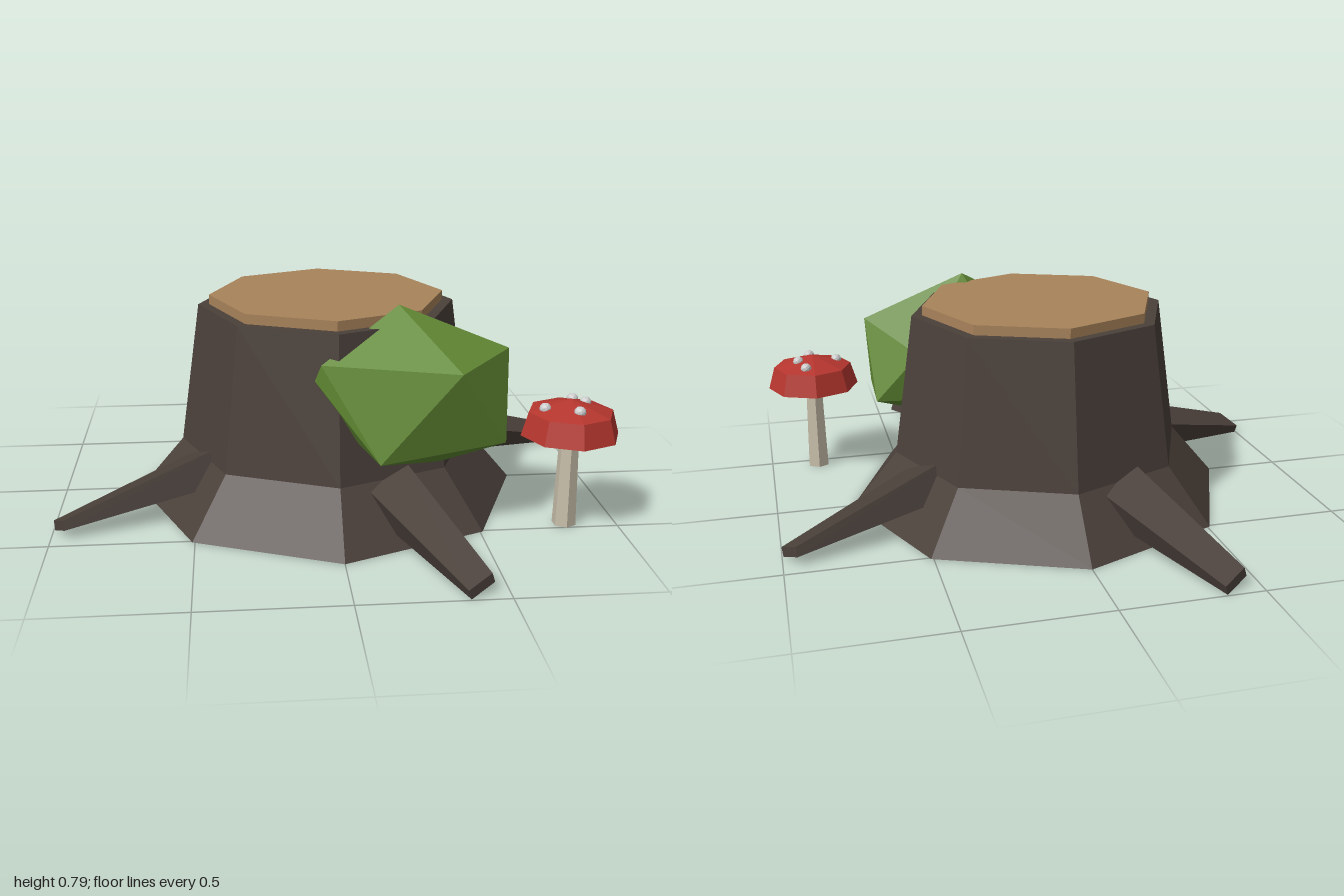
import * as THREE from 'three';
import { ConvexGeometry } from 'three/addons/geometries/ConvexGeometry.js';

const mat = (color) => new THREE.MeshStandardMaterial({ color, flatShading: true });
const bark = mat(0x4a403a);
const wood = mat(0xa8835a);
const moss = mat(0x628a34);
const red = mat(0xb5362e);
const cream = mat(0xc9bfab);
const grey = mat(0xcccccc);

function add(parent, name, geometry, material) {
  const mesh = new THREE.Mesh(geometry, material);
  mesh.name = name;
  parent.add(mesh);
  return mesh;
}

// Faceted solid of revolution from [radius, height] pairs, bottom to top
function turned(profile, sides) {
  return new THREE.LatheGeometry(profile.map(([r, y]) => new THREE.Vector2(r, y)), sides);
}

// Tapered, rolled bar running outward along +z and down to the ground
function rootGeometry() {
  const geo = new THREE.BoxGeometry(1, 1, 1);
  const p = geo.attributes.position;
  const roll = THREE.MathUtils.degToRad(20);
  for (let i = 0; i < p.count; i++) {
    const t = p.getZ(i) + 0.5;
    const x = p.getX(i) * THREE.MathUtils.lerp(0.18, 0.1, t);
    const y = p.getY(i) * THREE.MathUtils.lerp(0.13, 0.035, t);
    p.setXYZ(i,
      x * Math.cos(roll) - y * Math.sin(roll),
      x * Math.sin(roll) + y * Math.cos(roll) + THREE.MathUtils.lerp(0.15, 0.034, t),
      THREE.MathUtils.lerp(0.49, 1.055, t) - x * 0.1);
  }
  geo.computeVertexNormals();
  return geo;
}

function createMushroom() {
  const group = new THREE.Group();
  group.name = 'mushroom';
  add(group, 'mushroomStem', new THREE.CylinderGeometry(0.034, 0.043, 0.35, 6), cream).position.y = 0.175;
  add(group, 'mushroomCap', turned([[0, 0.34], [0.175, 0.34], [0.15, 0.425], [0, 0.468]], 8), red);
  // Spots sit on the upper slope of the cap
  const spot = new THREE.IcosahedronGeometry(0.021, 1);
  [[0.03, -0.09], [0.055, -0.02], [-0.095, 0.01], [0.008, 0.075]].forEach(([x, z]) => {
    add(group, 'mushroomSpot', spot, grey).position.set(x, 0.465 - 0.27 * Math.hypot(x, z), z);
  });
  group.position.set(0.815, 0, 0.46);
  return group;
}

export function createModel() {
  const model = new THREE.Group();
  model.name = 'treeStump';

  // Flared trunk and cut face
  add(model, 'trunk', turned([[0, 0], [0.72, 0], [0.55, 0.2], [0.475, 0.722], [0, 0.722]], 8), bark);
  add(model, 'cutFace', new THREE.CylinderGeometry(0.435, 0.435, 0.045, 8), wood).position.y = 0.735;

  // Four roots at quarter turns
  const root = rootGeometry();
  for (let i = 0; i < 4; i++) {
    add(model, 'root', root, bark).rotation.y = Math.PI / 8 + i * Math.PI / 2;
  }

  // Moss clump: top, upper ring, lower ring, bottom
  const clump = [
    [0.22, 0.79, 0.35],
    [-0.06, 0.62, 0.49], [0.4, 0.61, 0.605], [0.61, 0.63, 0.36], [0.43, 0.52, 0.17], [0.12, 0.6, 0.22],
    [0.13, 0.3, 0.605], [0.58, 0.33, 0.5], [0.59, 0.33, 0.22], [0.25, 0.32, 0.2], [-0.08, 0.56, 0.47],
    [0.03, 0.37, 0.45], [0.37, 0.22, 0.38],
  ].map((v) => new THREE.Vector3(...v));
  add(model, 'mossClump', new ConvexGeometry(clump), moss);

  model.add(createMushroom());
  return model;
}
